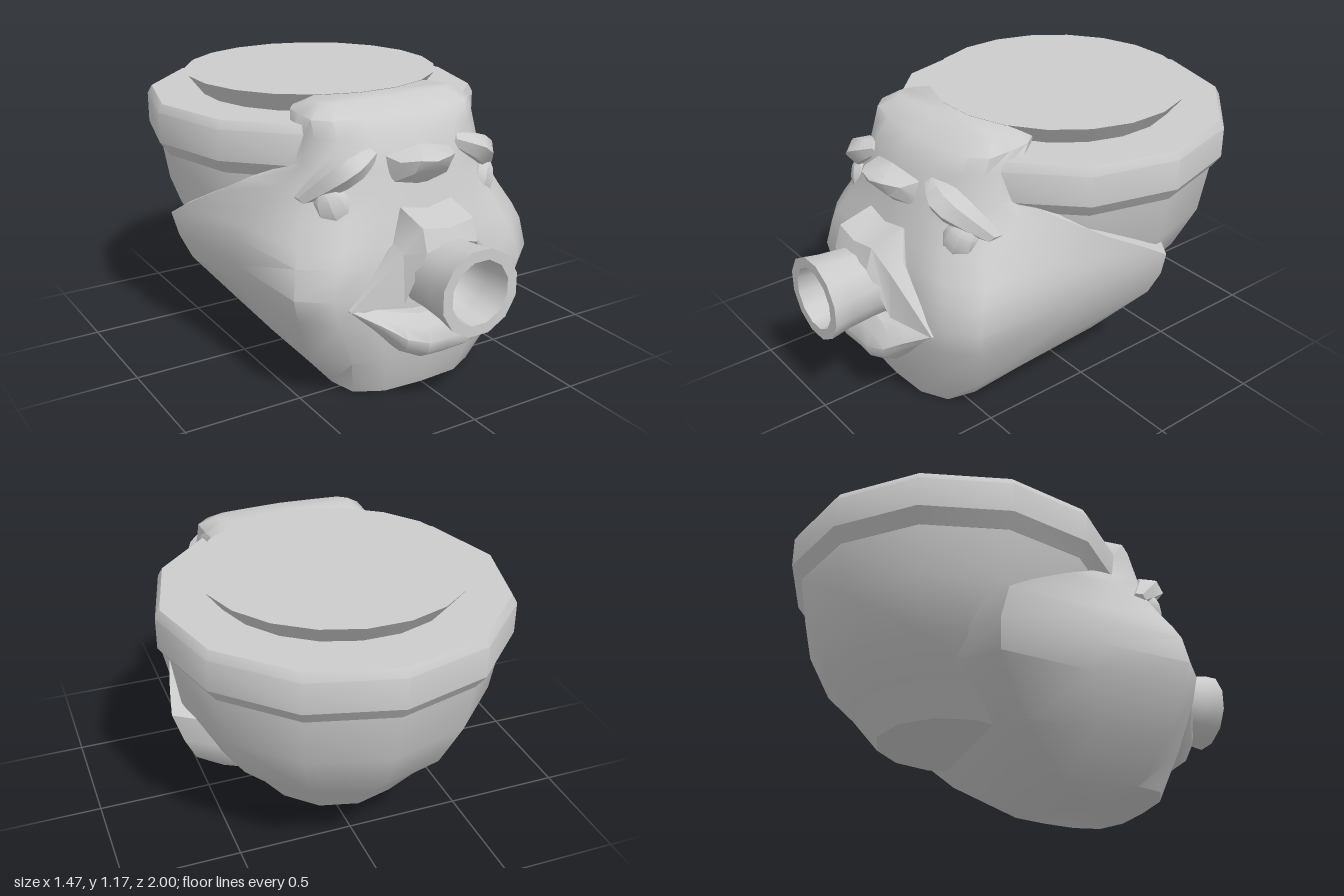
import * as THREE from 'three';
import { toCreasedNormals } from 'three/addons/utils/BufferGeometryUtils.js';
import { ConvexGeometry } from 'three/addons/geometries/ConvexGeometry.js';

const material = new THREE.MeshStandardMaterial({ color: 0xcccccc });

function part(group, name, geometry, crease = 0.75) {
  const mesh = new THREE.Mesh(toCreasedNormals(geometry, crease), material);
  mesh.name = name;
  group.add(mesh);
  return mesh;
}

// Closed skin through rings of equal point count, capped at both ends, wound outward
function loft(rings) {
  const n = rings[0].length, pos = rings.flat(2), index = [];
  const center = r => [0, 1, 2].map(k => r.reduce((s, p) => s + p[k], 0) / n);
  const first = rings.length * n, last = first + 1, end = first - n;
  pos.push(...center(rings[0]), ...center(rings[rings.length - 1]));
  for (let j = 0; j < n; j++) {
    const k = (j + 1) % n;
    for (let i = 0; i < rings.length - 1; i++) {
      const a = i * n + j, b = i * n + k;
      index.push(a, b, b + n, a, b + n, a + n);
    }
    index.push(first, k, j, last, end + j, end + k);
  }
  const v = i => new THREE.Vector3().fromArray(pos, i * 3);
  let volume = 0;
  for (let i = 0; i < index.length; i += 3)
    volume += v(index[i]).dot(v(index[i + 1]).cross(v(index[i + 2])));
  if (volume < 0) index.reverse();
  const g = new THREE.BufferGeometry();
  g.setAttribute('position', new THREE.Float32BufferAttribute(pos, 3));
  g.setIndex(index);
  return g;
}

const lathe = (profile, sides, phi = 0) =>
  new THREE.LatheGeometry(profile.map(p => new THREE.Vector2(...p)), sides, phi);

// Rings given from the middle outward become a full row, right to left
const mirrorRings = half => [
  ...half.slice(1).reverse().map(r => r.map(([x, y, z]) => [-x, y, z])), ...half];

// Half of a horizontal head section: front, front corner, side, back corner, inner back
function headSection([y, front, xc, zc, xs, zs, xb, zb]) {
  const half = [[0, front], [xc * 0.6, front - 0.01], [xc, zc], [xs, zs],
    [xs * 0.7 + xb * 0.3, (zs + zb) / 2], [xb, zb], [xb * 0.75, zb - 0.12 * Math.min(1, 3 * y)]];
  return [...half.map(([x, z]) => [x, y, z]),
    ...half.slice(1).reverse().map(([x, z]) => [-x, y, z])];
}

export function createModel() {
  const group = new THREE.Group();
  group.name = 'facePot';

  // Bowl with its heavy rim, and the flared lid
  const bowl = part(group, 'bowl', lathe([[0, 0.19], [0.32, 0.19], [0.435, 0.33], [0.555, 0.45],
    [0.655, 0.65], [0.69, 0.86]], 12), 0.6);
  const rim = part(group, 'rim', lathe([[0.6, 0.86], [0.692, 0.86], [0.735, 0.92], [0.735, 1.05],
    [0.715, 1.085], [0, 1.085]], 12), 0.6);
  const lid = part(group, 'lid', lathe([[0.49, 1.08], [0.56, 1.17], [0, 1.17]], 20, Math.PI / 20), 0.6);
  for (const m of [bowl, rim, lid]) m.position.z = -0.265;

  // Head, from chin to forehead, with cheeks reaching back around the bowl
  const sections = [
    [0, 0.64, 0.29, 0.57, 0.32, 0.45, 0.27, 0.14],
    [0.17, 0.705, 0.34, 0.64, 0.47, 0.52, 0.45, -0.1],
    [0.37, 0.71, 0.42, 0.68, 0.54, 0.57, 0.61, -0.27],
    [0.48, 0.705, 0.45, 0.69, 0.57, 0.59, 0.66, -0.29],
    [0.6, 0.69, 0.42, 0.67, 0.55, 0.57, 0.7, -0.27],
    [0.66, 0.675, 0.39, 0.65, 0.53, 0.54, 0.68, -0.17],
    [0.75, 0.65, 0.35, 0.61, 0.48, 0.5, 0.635, 0],
    [0.85, 0.62, 0.32, 0.56, 0.43, 0.46, 0.54, 0.17],
    [0.93, 0.6, 0.31, 0.53, 0.4, 0.45, 0.42, 0.3],
    [1.05, 0.56, 0.31, 0.49, 0.38, 0.43, 0.4, 0.27],
    [1.12, 0.5, 0.32, 0.46, 0.38, 0.4, 0.36, 0.2],
    [1.168, 0.4, 0.27, 0.38, 0.31, 0.35, 0.3, 0.28],
  ];
  part(group, 'head', loft(sections.map(headSection)), 0.9);

  // Snub nose with its underside sloping back to the face
  const nose = [[0, 1.02, 0.6], [0, 0.975, 0.71], [0, 0.84, 0.59]];
  for (const s of [-1, 1])
    nose.push([s * 0.15, 0.985, 0.57], [s * 0.13, 0.975, 0.65], [s * 0.07, 0.985, 0.7],
      [s * 0.155, 0.9, 0.56], [s * 0.14, 0.87, 0.58], [s * 0.08, 0.93, 0.675]);
  part(group, 'nose', new ConvexGeometry(nose.map(p => new THREE.Vector3(...p))), 0.5);

  for (const s of [1, -1]) {
    const side = s > 0 ? 'left' : 'right';
    // Drooping brow, swelling in the middle of its arc
    const arc = new THREE.CatmullRomCurve3([[0.19, 1, 0.54], [0.32, 0.945, 0.55], [0.45, 0.81, 0.43]]
      .map(p => new THREE.Vector3(...p)));
    const rings = arc.getPoints(5).map(({ x, y, z }, i) => {
      const swell = Math.sin(Math.PI * i / 5), h = 0.025 + 0.03 * swell, d = 0.035 + 0.045 * swell;
      return Array.from({ length: 6 }, (_, k) => {
        const a = k * Math.PI / 3 + 0.4, u = h * 1.1 * Math.cos(a);
        return [s * (x + 0.6 * u), y + 0.8 * u, z + d * Math.sin(a)];
      });
    });
    part(group, side + 'Brow', loft(rings));
    // Soft bag below the eye
    const bag = part(group, side + 'EyeBag', new THREE.SphereGeometry(1, 8, 6));
    bag.scale.set(0.075, 0.09, 0.05);
    bag.position.set(s * 0.36, 0.8, 0.535);
    bag.rotation.set(0, s * 0.6, s * -0.4);
  }

  // Upper lip: [x, top y, top z, ridge y, ridge z, bottom y, bottom z], out to the mouth corners
  const upper = [[0, 0.77, 0.65, 0.735, 0.8, 0.69, 0.82], [0.12, 0.79, 0.64, 0.75, 0.79, 0.66, 0.82],
    [0.175, 0.665, 0.68, 0.64, 0.745, 0.44, 0.76], [0.385, 0.435, 0.69, 0.432, 0.7, 0.428, 0.7]];
  part(group, 'upperLip', loft(mirrorRings(upper.map(([x, ty, tz, ry, rz, by, bz]) =>
    [[x, ty, tz], [x, ry, rz], [x, by, bz], [x, by, 0.66], [x, (ty + by) / 2, 0.6]]))), 0.6);

  // Lower lip: [x, top, bottom, front z]
  const lower = [[0, 0.385, 0.19, 0.82], [0.1, 0.385, 0.2, 0.83], [0.19, 0.4, 0.24, 0.81],
    [0.27, 0.415, 0.325, 0.765], [0.38, 0.435, 0.425, 0.7]];
  part(group, 'lowerLip', loft(mirrorRings(lower.map(([x, t, b, f]) => {
    const at = k => b + (t - b) * k;
    return [[x, t, 0.64], [x, t, f - 0.07], [x, at(0.75), f - 0.03], [x, at(0.45), f],
      [x, at(0.2), f - 0.01], [x, b, f - 0.06], [x, b, 0.64]];
  }))), 0.8);

  // Hollow flared spout with a rounded bottom inside
  const spout = part(group, 'spout', lathe([[0.155, 0.62], [0.155, 0.8], [0.163, 0.91], [0.178, 1],
    [0.133, 1], [0.122, 0.88], [0.1, 0.78], [0.055, 0.735], [0, 0.72]], 12, Math.PI / 12).rotateX(Math.PI / 2), 0.8);
  spout.position.y = 0.538;

  return group;
}
